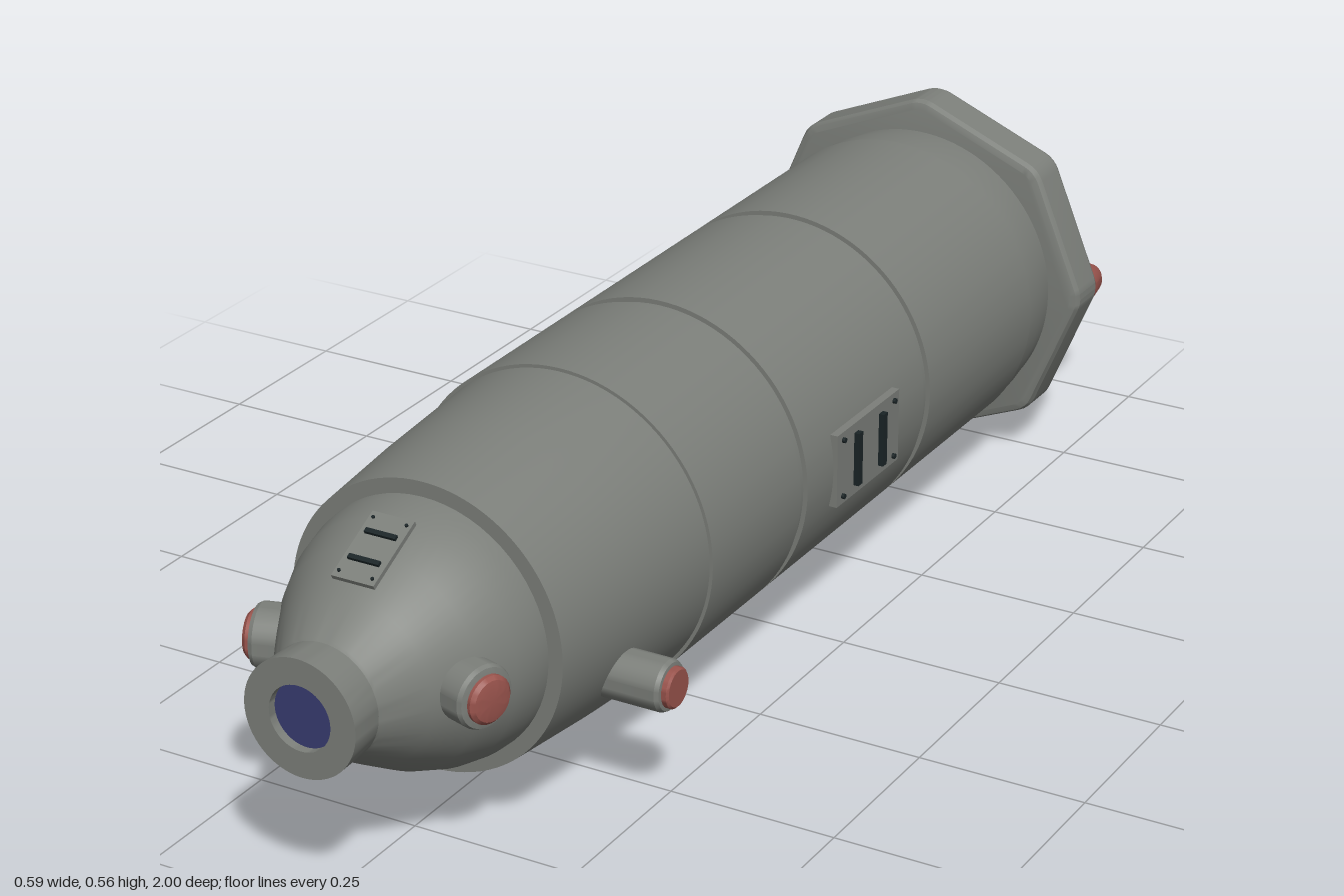
import * as THREE from 'three';
import { toCreasedNormals } from 'three/addons/utils/BufferGeometryUtils.js';

const material = (name, color) => {
  const m = new THREE.MeshStandardMaterial({ color });
  m.name = name;
  return m;
};

export function createModel() {
  const grey = material('hull grey', 0x7c7f7a);
  const red = material('dull red', 0x9a544d);
  const blue = material('lens blue', 0x383c70);
  const black = material('slot black', 0x1a2426);
  const model = new THREE.Group();
  const CY = 0.283; // height of the long axis

  const add = (parent, name, geometry, mat, x = 0, y = 0, z = 0) => {
    const mesh = new THREE.Mesh(geometry, mat);
    mesh.name = name;
    mesh.position.set(x, y, z);
    parent.add(mesh);
    return mesh;
  };
  // Turned solid from [axial, radius] pairs listed in rising axial order
  const turned = (pairs, segments = 64) => toCreasedNormals(
    new THREE.LatheGeometry(pairs.map(([a, r]) => new THREE.Vector2(r, a)), segments), 0.4);
  const turnedZ = (pairs, segments) => turned(pairs, segments).rotateX(Math.PI / 2);

  // Rear cylinder with two shallow grooves
  add(model, 'hull', turnedZ([
    [-0.75, 0], [-0.75, 0.228], [-0.7, 0.232], [-0.665, 0.237], [-0.625, 0.237], [-0.625, 0.241],
    [-0.28, 0.241], [-0.28, 0.234], [-0.26, 0.234], [-0.26, 0.241],
    [0.1, 0.241], [0.1, 0.234], [0.12, 0.234], [0.12, 0.241],
    [0.37, 0.241], [0.37, 0],
  ], 96), grey, 0, CY);

  // Tapered front section, stepped down to the nose
  add(model, 'taperedSection', turnedZ([[0.36, 0.236], [0.37, 0.236], [0.55, 0.225], [0.71, 0.211], [0.71, 0.15]], 96), grey, 0, CY);
  add(model, 'nose', turnedZ([
    [0.7, 0.19], [0.73, 0.188], [0.77, 0.179], [0.82, 0.158], [0.88, 0.122], [0.94, 0.085],
    [0.945, 0.083], [1, 0.085], [1, 0.047], [0.985, 0.047],
  ]), grey, 0, CY);
  add(model, 'noseLens', new THREE.CircleGeometry(0.048, 48), blue, 0, CY, 0.987);

  // Octagonal flange with softened corners
  const R = 0.271, corner = (i) => new THREE.Vector2(0, R).rotateAround(new THREE.Vector2(), i * Math.PI / 4);
  const octagon = new THREE.Shape();
  for (let i = 0; i < 8; i++) {
    const c = corner(i);
    const a = c.clone().lerp(corner(i - 1), 0.07), b = c.clone().lerp(corner(i + 1), 0.07);
    if (i === 0) octagon.moveTo(a.x, a.y); else octagon.lineTo(a.x, a.y);
    octagon.quadraticCurveTo(c.x, c.y, b.x, b.y);
  }
  octagon.closePath();
  const flange = new THREE.ExtrudeGeometry(octagon, {
    depth: 0.056, bevelThickness: 0.012, bevelSize: 0.013, bevelSegments: 2, curveSegments: 4,
  });
  add(model, 'octagonFlange', toCreasedNormals(flange, 0.4), grey, 0, CY, -0.775);

  // Rear plate and cap
  add(model, 'rearPlate', turnedZ([[-0.838, 0], [-0.838, 0.19], [-0.83, 0.199], [-0.78, 0.202]]), grey, 0, CY);
  add(model, 'rearCap', turnedZ([
    [-0.968, 0], [-0.968, 0.082], [-0.964, 0.1], [-0.952, 0.117], [-0.93, 0.126], [-0.83, 0.134],
  ], 48), red, 0, CY);

  // Rear pipe with a rounded, open end
  add(model, 'rearPipe', turnedZ([
    [-0.99, 0], [-0.99, 0.013], [-1, 0.014], [-0.997, 0.02], [-0.985, 0.026], [-0.955, 0.031], [-0.785, 0.031], [-0.785, 0],
  ], 24), red, 0.174, 0.203);
  const bore = add(model, 'rearPipeBore', new THREE.CircleGeometry(0.0135, 24), black, 0.174, 0.203, -0.992);
  bore.rotation.y = Math.PI;

  // Fixed panel: raised plate, two dark slots, four corner bolts; its face points to +y
  const panel = (name) => {
    const g = new THREE.Group();
    g.name = name;
    add(g, 'plate', new THREE.BoxGeometry(0.112, 0.012, 0.19), grey, 0, 0, 0);
    for (const s of [-1, 1]) {
      add(g, 'slot', new THREE.BoxGeometry(0.082, 0.009, 0.012), black, 0, 0.0095, s * 0.038);
      for (const t of [-1, 1])
        add(g, 'bolt', new THREE.CylinderGeometry(0.004, 0.004, 0.006, 10), black, t * 0.044, 0.0075, s * 0.078);
    }
    model.add(g);
    return g;
  };
  const nosePanel = panel('nosePanel');
  nosePanel.scale.setScalar(0.58);
  nosePanel.position.set(0, CY + 0.161, 0.823);
  nosePanel.rotation.x = 0.47;

  // Mirrored side fittings
  for (const s of [1, -1]) {
    const side = s > 0 ? 'left' : 'right';
    const sidePanel = panel(side + 'Panel');
    sidePanel.position.set(s * 0.241, CY, -0.072);
    sidePanel.rotation.z = -s * Math.PI / 2;

    // Straight outlet with a red plug
    const outlet = new THREE.Group();
    outlet.name = side + 'Outlet';
    outlet.position.set(0, 0.2, 0.56);
    outlet.rotation.z = -s * Math.PI / 2;
    add(outlet, 'outletTube', turned([[0.15, 0.037], [0.28, 0.037], [0.286, 0.034], [0.287, 0.028], [0.287, 0]], 32), grey);
    add(outlet, 'outletPlug', turned([[0.28, 0.029], [0.294, 0.029], [0.297, 0.026], [0.297, 0]], 32), red);
    model.add(outlet);

    // Lamp angled slightly forward
    const lamp = new THREE.Group();
    lamp.name = side + 'Lamp';
    lamp.position.set(s * 0.135, CY + 0.002, 0.827);
    lamp.rotation.set(0, -s * 0.3, -s * Math.PI / 2);
    add(lamp, 'lampHousing', turned([[-0.05, 0.045], [0.038, 0.045], [0.044, 0.042], [0.046, 0.034], [0.046, 0]], 32), grey);
    add(lamp, 'lampLens', turned([[0.04, 0.034], [0.051, 0.034], [0.056, 0.029], [0.058, 0.02], [0.058, 0]], 32), red);
    model.add(lamp);
  }
  return model;
}
